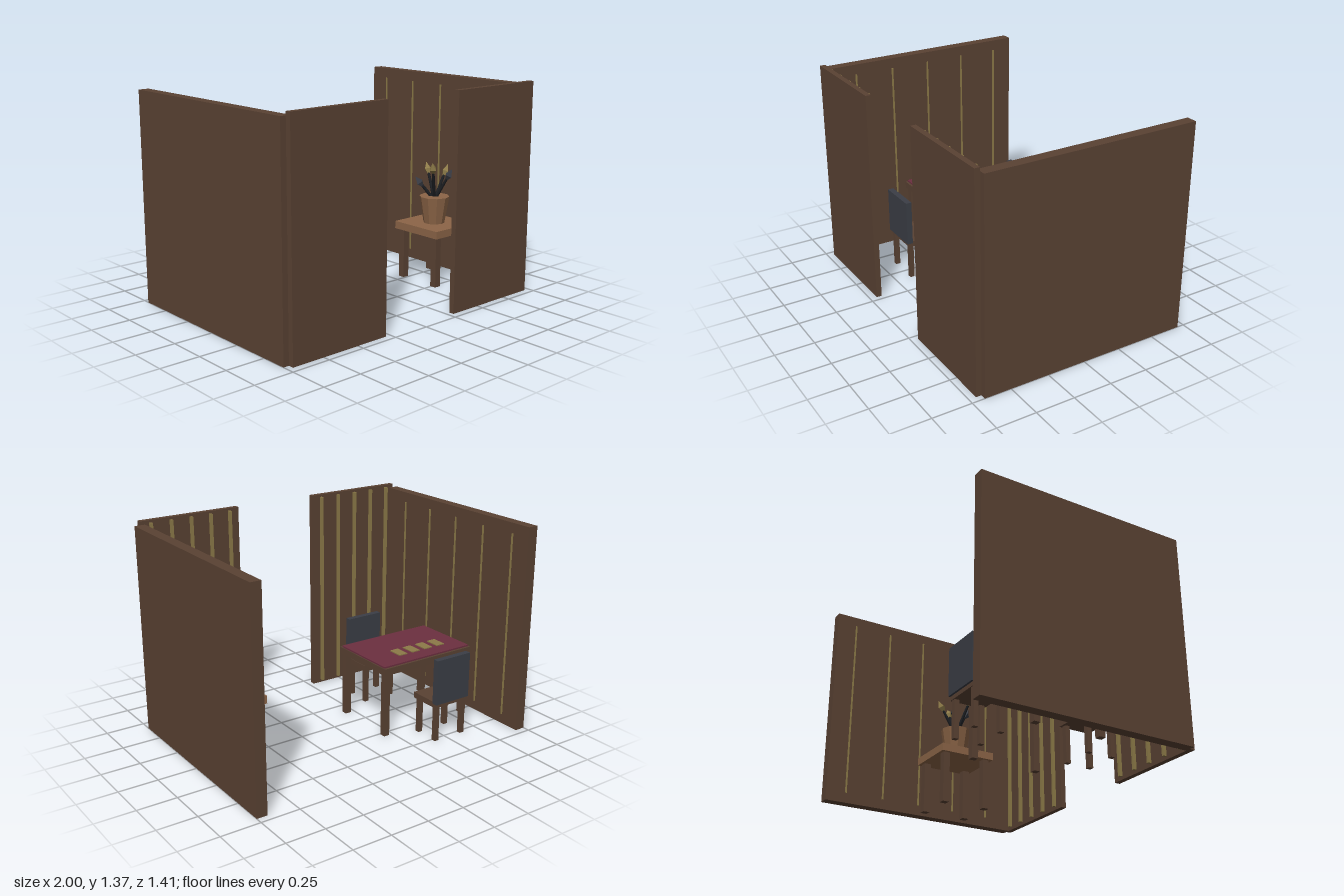
import * as THREE from 'three';

const mat = (name, color) => {
  const m = new THREE.MeshStandardMaterial({ color });
  m.name = name;
  return m;
};

export function createModel() {
  const wood = mat('dark wood', 0x5a4233);
  const tan = mat('tan wood', 0x8c6547);
  const cloth = mat('wine cloth', 0x6c2f40);
  const gold = mat('dull gold', 0x8c7a48);
  const slate = mat('slate', 0x3b3e46);
  const black = mat('black stem', 0x1d1f23);
  const root = new THREE.Group();
  root.name = 'parlourBooth';

  // Box given by its low and high limits on each axis
  const box = (parent, name, material, [x0, x1], [y0, y1], [z0, z1]) => {
    const m = new THREE.Mesh(new THREE.BoxGeometry(x1 - x0, y1 - y0, z1 - z0), material);
    m.position.set((x0 + x1) / 2, (y0 + y1) / 2, (z0 + z1) / 2);
    m.name = name;
    parent.add(m);
    return m;
  };
  const group = (name) => {
    const g = new THREE.Group();
    g.name = name;
    root.add(g);
    return g;
  };
  // Four square legs inside a rectangle
  const legs = (parent, name, [x0, x1], [z0, z1], w, h) => {
    for (const x of [x0, x1 - w]) for (const z of [z0, z1 - w])
      box(parent, name, wood, [x, x + w], [0, h], [z, z + w]);
  };

  // Side walls and front panels with gold battens on the inside
  for (const s of [-1, 1]) {
    const g = group(s > 0 ? 'leftWalls' : 'rightWalls');
    const span = (a, b) => (s > 0 ? [a, b] : [-b, -a]);
    box(g, 'sideWall', wood, span(0.932, 1), [0, 1.342], [-0.705, 0.67]);
    box(g, 'frontPanel', wood, span(0.284, 0.964), [0, 1.365], [0.67, 0.705]);
    for (let i = 0; i < 5; i++) {
      const z = -0.57 + i * 0.261, x = 0.352 + i * 0.136;
      box(g, 'sideBatten', gold, span(0.925, 0.932), [0.065, 1.275], [z - 0.005, z + 0.005]);
      box(g, 'frontBatten', gold, span(x - 0.008, x + 0.008), [0.02, 1.35], [0.648, 0.67]);
    }
  }

  // Card table
  const table = group('cardTable');
  box(table, 'tableTop', wood, [-0.87, -0.17], [0.42, 0.465], [-0.307, 0.178]);
  box(table, 'tableCloth', cloth, [-0.865, -0.176], [0.465, 0.475], [-0.292, 0.164]);
  legs(table, 'tableLeg', [-0.86, -0.18], [-0.295, 0.166], 0.04, 0.42);
  for (let i = 0; i < 4; i++) {
    const x = -0.709 + i * 0.1025;
    box(table, 'card', gold, [x - 0.031, x + 0.031], [0.475, 0.481], [-0.196, -0.096]);
  }

  // Two chairs facing each other across the table
  for (const s of [-1, 1]) {
    const chair = group(s > 0 ? 'frontChair' : 'backChair');
    const span = (a, b) => (s > 0 ? [a, b] : [-0.13 - b, -0.13 - a]);
    box(chair, 'seat', wood, [-0.65, -0.39], [0.23, 0.268], span(0.195, 0.405));
    box(chair, 'backrest', slate, [-0.648, -0.388], [0.255, 0.55], span(0.38, 0.418));
    legs(chair, 'chairLeg', [-0.64, -0.4], span(0.21, 0.4), 0.03, 0.23);
  }

  // Side table
  const stand = group('plantTable');
  box(stand, 'plantTableTop', tan, [0.545, 0.895], [0.335, 0.385], [-0.075, 0.305]);
  legs(stand, 'plantTableLeg', [0.565, 0.875], [-0.055, 0.285], 0.045, 0.335);

  // Faceted pot with five stems and buds
  const plant = group('pottedPlant');
  plant.position.set(0.72, 0.385, 0.115);
  const potGeo = new THREE.CylinderGeometry(0.1, 0.07, 0.18, 10).toNonIndexed();
  potGeo.computeVertexNormals();
  const pot = new THREE.Mesh(potGeo, tan);
  pot.name = 'pot';
  pot.position.y = 0.09;
  plant.add(pot);

  const up = new THREE.Vector3(0, 1, 0);
  [0.335, 0.33, 0.38, 0.275, 0.345].forEach((h, i) => {
    const a = (i * Math.PI * 2) / 5;
    const from = new THREE.Vector3(0, 0.15, 0);
    const to = new THREE.Vector3(Math.cos(a) * 0.1, h, Math.sin(a) * 0.1);
    const dir = to.clone().sub(from);
    const stem = new THREE.Mesh(new THREE.CylinderGeometry(0.009, 0.012, dir.length(), 6), black);
    stem.name = 'stem';
    stem.position.copy(from).add(to).multiplyScalar(0.5);
    stem.quaternion.setFromUnitVectors(up, dir.normalize());
    plant.add(stem);
    const bud = new THREE.Mesh(new THREE.OctahedronGeometry(1), i % 2 ? slate : gold);
    bud.name = 'bud';
    bud.scale.set(0.027, 0.05, 0.027);
    bud.position.copy(to);
    bud.quaternion.copy(stem.quaternion);
    plant.add(bud);
  });

  return root;
}
